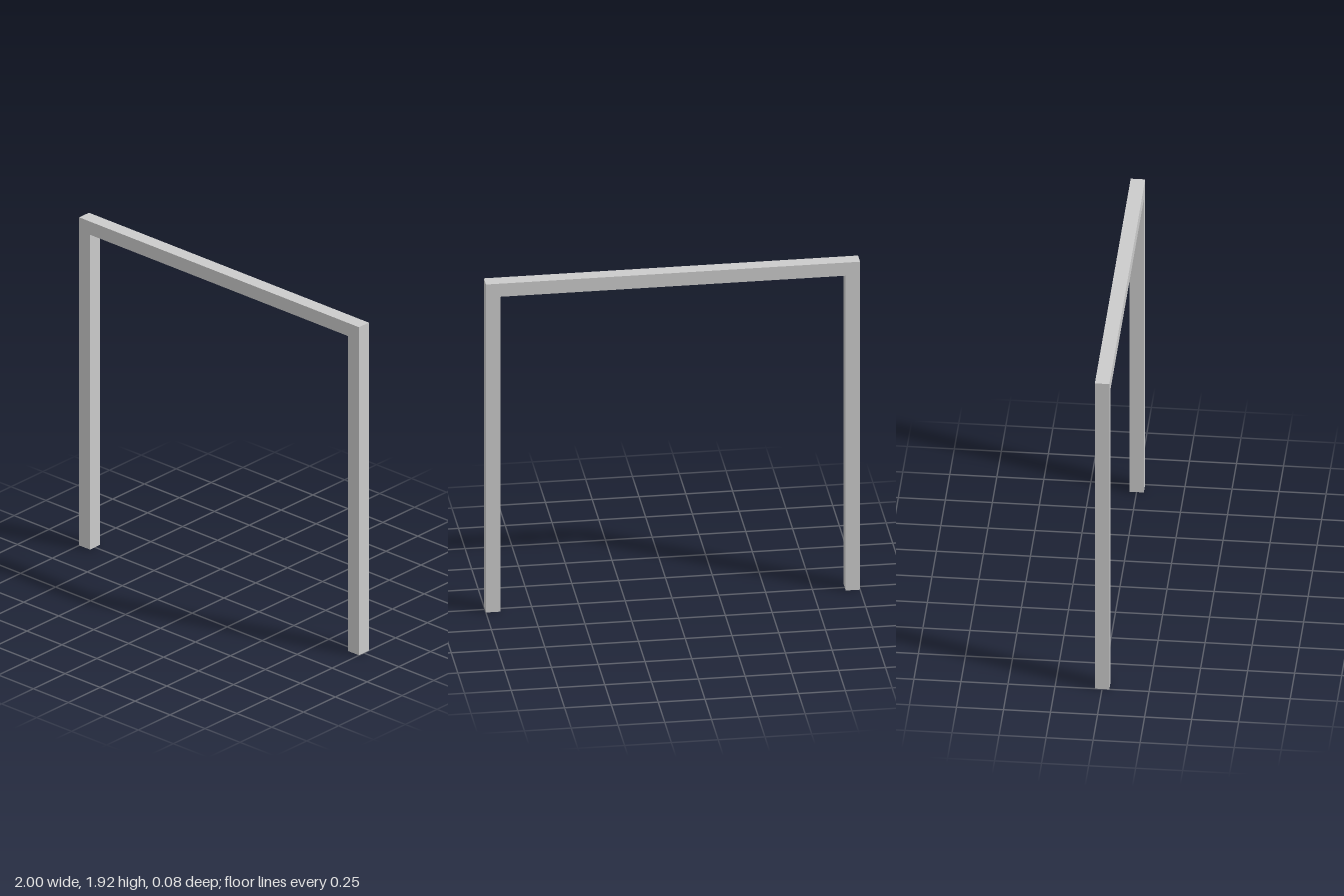
import * as THREE from 'three';

const HALF_WIDTH = 1;
const HEIGHT = 1.925;
const BAR = 0.077; // square section of posts and crossbar

export function createModel() {
  const group = new THREE.Group();
  group.name = 'portalFrame';

  // One continuous outline: two posts joined by a crossbar, open at the bottom
  const inner = HALF_WIDTH - BAR;
  const outline = new THREE.Shape([
    [-HALF_WIDTH, 0], [-inner, 0], [-inner, HEIGHT - BAR], [inner, HEIGHT - BAR],
    [inner, 0], [HALF_WIDTH, 0], [HALF_WIDTH, HEIGHT], [-HALF_WIDTH, HEIGHT],
  ].map(([x, y]) => new THREE.Vector2(x, y)));

  const geometry = new THREE.ExtrudeGeometry(outline, { depth: BAR, bevelEnabled: false });
  geometry.translate(0, 0, -BAR / 2);

  const frame = new THREE.Mesh(geometry, new THREE.MeshStandardMaterial({ color: 0xcccccc }));
  frame.name = 'postsAndCrossbar';
  group.add(frame);
  return group;
}
